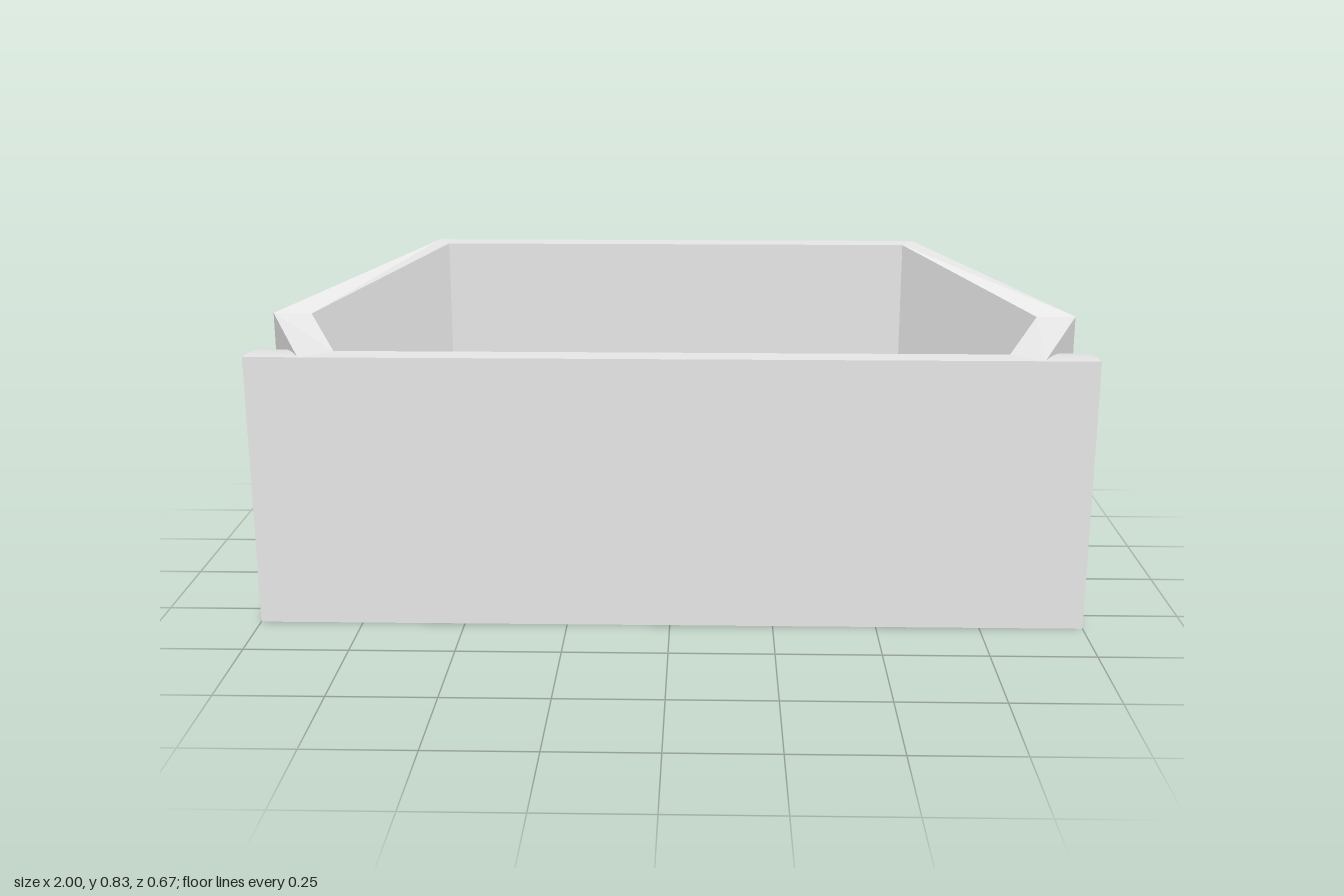
import * as THREE from 'three';

const mat = (name, color) => {
  const m = new THREE.MeshStandardMaterial({ color });
  m.name = name;
  return m;
};

const R = 0.666, FRONT = 0.333, SEG = 64;
const TILT = Math.PI / 6, HUB_Y = 0.578, HUB_Z = 0.2;

// Height of the gauge panel, which slopes down towards the back
const panelY = (z) => HUB_Y + (z - HUB_Z) * Math.tan(TILT);

// Hexagonal rim corners, counterclockwise from above
const mirrorLoop = (half) => [
  ...half.map(([x, y, z]) => [-x, y, z]),
  ...half.slice().reverse(),
];
const OUTER = mirrorLoop([[0.633, 0.833, -0.333], [1, 0.707, 0.033], [0.87, R, 0.333]]);
const INNER = mirrorLoop([[0.6, 0.833, -0.267], [0.903, 0.707, 0.038], [0.8, R, 0.267]]);

// Point on the quarter-round back of the body
const arc = (i, x) => {
  const a = (i / SEG) * Math.PI / 2;
  return [x, R * Math.cos(a), FRONT - R * Math.sin(a)];
};

// Half width of the hood at depth z
const hoodX = (z) => z < 0.033
  ? THREE.MathUtils.mapLinear(z, -0.333, 0.033, 0.633, 1)
  : THREE.MathUtils.mapLinear(z, 0.033, 0.333, 1, 0.87);

// Flat-faced geometry from polygons, each a list of corners
function faces(polys) {
  const pos = [];
  for (const p of polys)
    for (let i = 1; i < p.length - 1; i++) pos.push(...p[0], ...p[i], ...p[i + 1]);
  const g = new THREE.BufferGeometry();
  g.setAttribute('position', new THREE.Float32BufferAttribute(pos, 3));
  g.computeVertexNormals();
  return g;
}

// Smooth quarter-round shoulder between the hood and one end
function shoulder(s) {
  const pos = [], idx = [];
  for (let i = 0; i <= SEG; i++) {
    const z = arc(i, 0)[2];
    pos.push(...arc(i, s * hoodX(z)), ...arc(i, s));
    if (i === SEG) break;
    const a = 2 * i, b = a + 1, c = a + 3, d = a + 2;
    idx.push(...(s > 0 ? [a, b, c, a, c, d] : [a, c, b, a, d, c]));
  }
  const g = new THREE.BufferGeometry();
  g.setAttribute('position', new THREE.Float32BufferAttribute(pos, 3));
  g.setIndex(idx);
  g.computeVertexNormals();
  return g;
}

export function createModel() {
  const model = new THREE.Group();
  model.name = 'instrumentPanel';
  const casing = mat('casing grey', 0xe5e5e5);
  const black = mat('panel black', 0x040404);
  const white = mat('tick white', 0xeeeeee);
  const red = mat('red', 0xee0404);
  const green = mat('green', 0x04ee24);
  const yellow = mat('yellow', 0xeed908);
  const grey = mat('hub grey', 0x888888);

  const add = (name, geo, material, x = 0, y = 0, z = 0, parent = model) => {
    const m = new THREE.Mesh(geo, material);
    m.name = name;
    m.position.set(x, y, z);
    parent.add(m);
    return m;
  };

  // Body: front, underside, end plates and rounded shoulders
  add('bodyFront', faces([[[-1, 0, FRONT], [1, 0, FRONT], [1, R, FRONT], [-1, R, FRONT]]]), casing);
  add('bodyUnderside', faces([[[-1, 0, -FRONT], [1, 0, -FRONT], [1, 0, FRONT], [-1, 0, FRONT]]]), casing);
  for (const s of [1, -1]) {
    const side = s > 0 ? 'left' : 'right';
    const rim = [[s, 0, FRONT]];
    for (let i = 0; i <= SEG; i++) rim.push(arc(i, s));
    if (s > 0) rim.reverse();
    add(side + 'End', faces([rim]), casing);
    add(side + 'Shoulder', shoulder(s), casing);
  }

  // Hood: outer walls, sloping rim and inner walls down to the panel
  const walls = [], rims = [], inside = [];
  const ground = ([x, , z]) => [x, 0, z];
  const onPanel = ([x, , z]) => [x, panelY(z), z];
  for (let i = 0; i < 6; i++) {
    const j = (i + 1) % 6;
    const [a, b, c, d] = [OUTER[i], OUTER[j], INNER[i], INNER[j]];
    if (a[2] < 0.3 || b[2] < 0.3) walls.push([ground(a), ground(b), b, a]);
    rims.push([a, b, d, c]);
    inside.push([onPanel(d), onPanel(c), c, d]);
  }
  add('hoodWalls', faces(walls), casing);
  add('hoodRim', faces(rims), casing);
  add('hoodInside', faces(inside), casing);

  // Sloping black gauge panel inside the hood
  add('gaugePanel', faces([INNER.map(onPanel)]), black);

  // Instruments lie in the plane of the panel, centred on the hub
  const dials = new THREE.Group();
  dials.name = 'instruments';
  dials.position.set(0, HUB_Y, HUB_Z);
  dials.rotation.x = -TILT;
  model.add(dials);

  // Main dial: fan of coloured blocks
  const T = 0.015;
  for (let k = -5; k <= 5; k++) {
    const a = THREE.MathUtils.degToRad(12 * k);
    const colour = k < -1 ? green : k > 1 ? red : yellow;
    const block = add('dialBlock', new THREE.BoxGeometry(0.05, T, 0.128), colour,
      0.47 * Math.sin(a), T / 2, 0.056 - 0.427 * Math.cos(a), dials);
    block.rotation.y = -a;
  }

  // Pointer and hub
  add('pointerHub', new THREE.CylinderGeometry(0.053, 0.053, 0.02, 32), grey, 0, 0.01, 0.005, dials);
  const needle = new THREE.CylinderGeometry(0.004, 0.017, 0.31, 16);
  needle.rotateZ(-Math.PI / 2);
  needle.translate(0.155, 0, 0);
  add('pointer', needle, red, 0, 0.022, 0.012, dials).rotation.y = 0.3;

  // Side level gauges: red bar with white ticks
  for (const s of [1, -1]) {
    const gauge = new THREE.Group();
    gauge.name = s > 0 ? 'leftGauge' : 'rightGauge';
    gauge.position.set(s * 0.602, T / 2, -0.146);
    dials.add(gauge);
    add('levelBar', new THREE.BoxGeometry(0.043, T, 0.307), red, 0, 0, 0, gauge);
    for (let i = -2; i <= 2; i++)
      for (const x of [-0.056, 0.056])
        add('tick', new THREE.BoxGeometry(0.056, T, 0.03), white, x, 0, i * 0.067, gauge);
  }
  return model;
}
